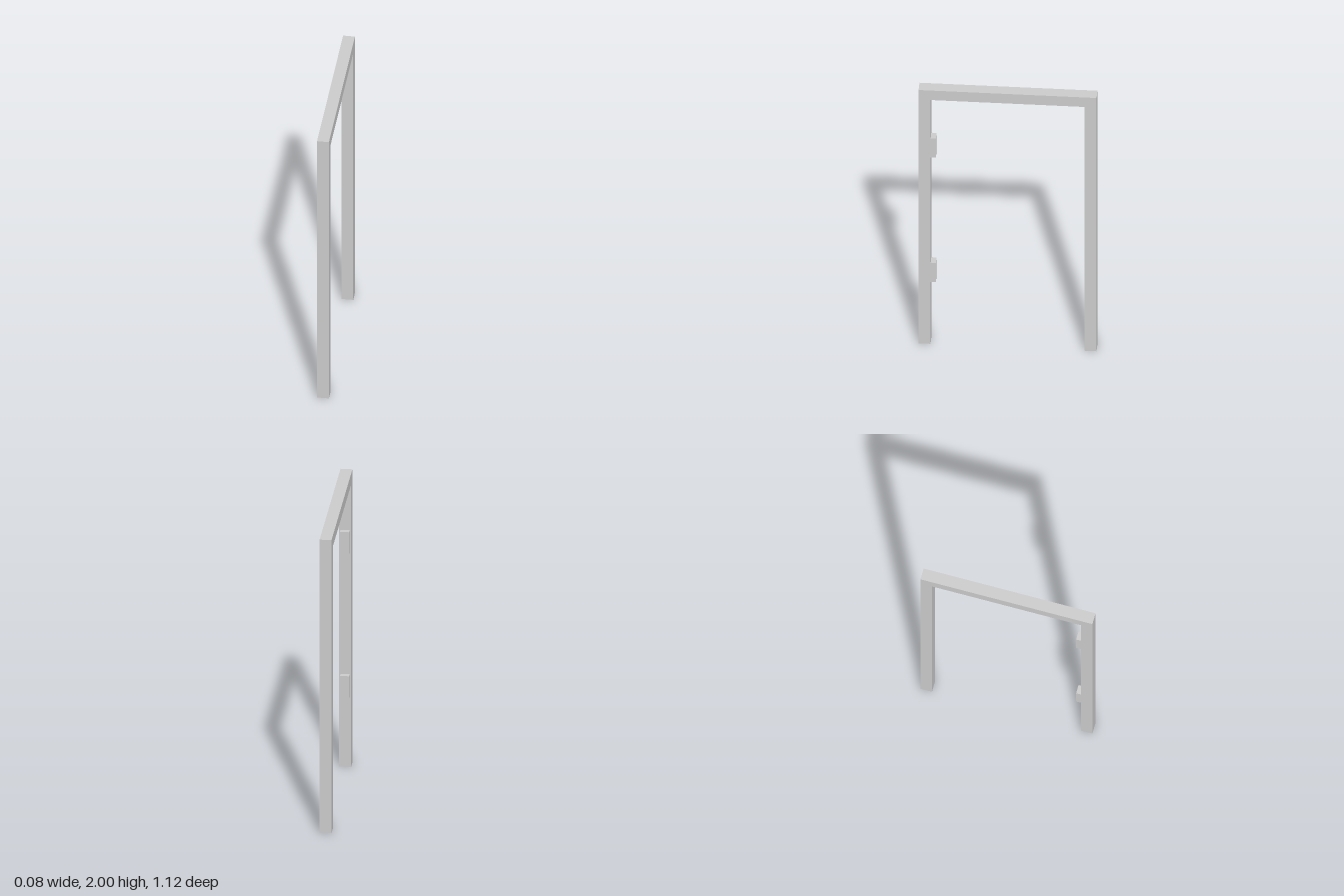
import * as THREE from 'three';

export function createModel() {
  const group = new THREE.Group();
  const material = new THREE.MeshStandardMaterial({ color: 0xcccccc, flatShading: true });
  const height = 2, half = 0.558, bar = 0.075;
  const inner = half - bar;

  // Door frame: one upside-down U extruded through the wall thickness
  const outline = new THREE.Shape([
    [-half, 0], [-inner, 0], [-inner, height - bar], [inner, height - bar],
    [inner, 0], [half, 0], [half, height], [-half, height],
  ].map(([z, y]) => new THREE.Vector2(z, y)));
  const frameGeometry = new THREE.ExtrudeGeometry(outline, { depth: bar, bevelEnabled: false });
  frameGeometry.translate(0, 0, -bar / 2).rotateY(Math.PI / 2);
  const frame = new THREE.Mesh(frameGeometry, material);
  frame.name = 'doorFrame';
  group.add(frame);

  // Two hinge blocks on the inside of the front jamb
  const hingeDepth = 0.033;
  const hingeGeometry = new THREE.BoxGeometry(0.057, 0.151, hingeDepth);
  for (const [name, y] of [['lowerHinge', 0.558], ['upperHinge', 1.541]]) {
    const hinge = new THREE.Mesh(hingeGeometry, material);
    hinge.name = name;
    hinge.position.set(0, y, inner - hingeDepth / 2);
    group.add(hinge);
  }
  return group;
}
